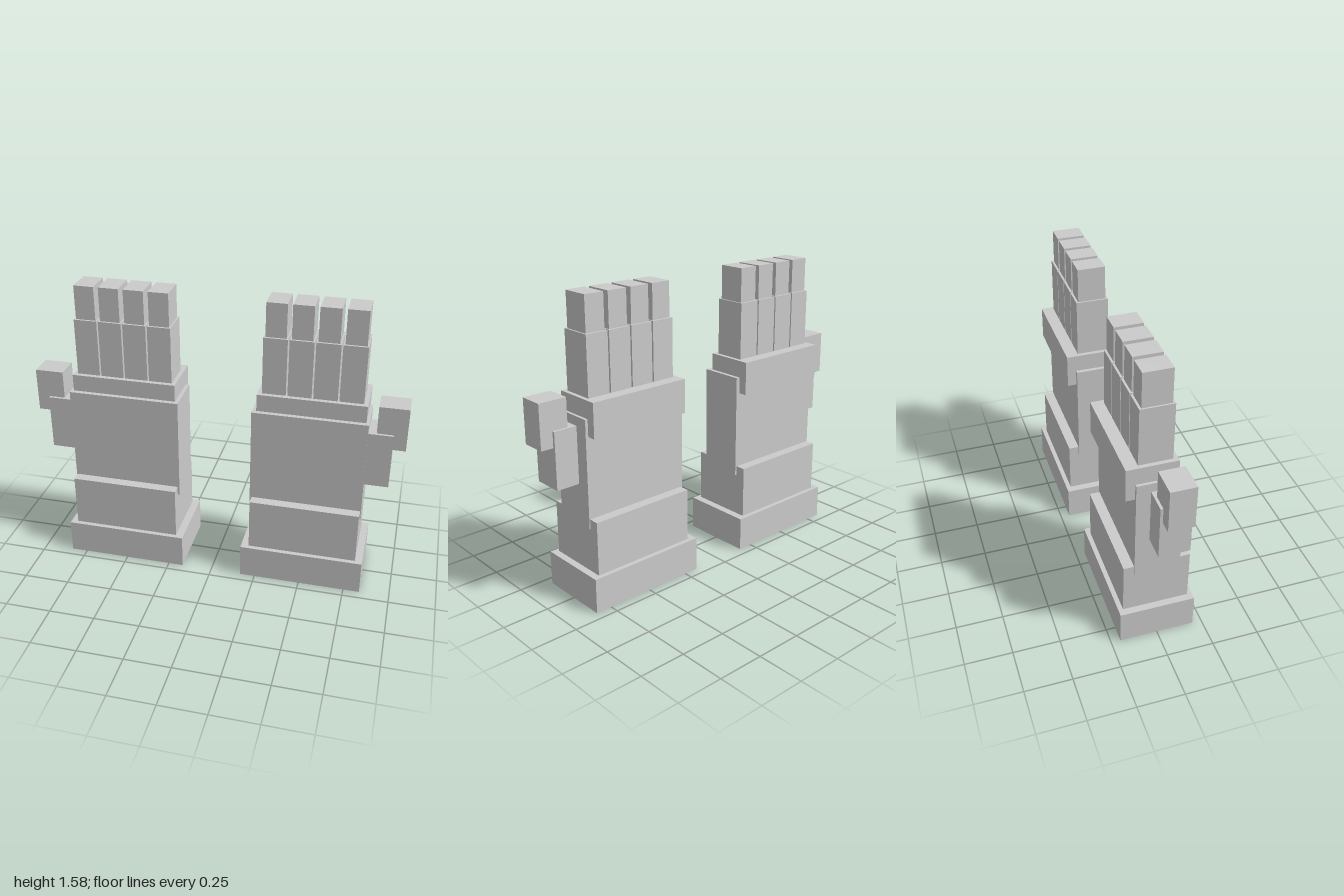
import * as THREE from 'three';

const material = new THREE.MeshStandardMaterial({ color: 0xcccccc, flatShading: true });

// Box given by its [min, max] extent along each axis
function block(name, [x0, x1], [y0, y1], [z0, z1]) {
  const mesh = new THREE.Mesh(new THREE.BoxGeometry(x1 - x0, y1 - y0, z1 - z0), material);
  mesh.position.set((x0 + x1) / 2, (y0 + y1) / 2, (z0 + z1) / 2);
  mesh.name = name;
  return mesh;
}

// One gauntlet; side is +1 for the left hand, -1 for the right
function createGauntlet(side) {
  const hand = new THREE.Group();
  hand.name = side > 0 ? 'leftGauntlet' : 'rightGauntlet';
  const add = (name, xs, ys, zs) => {
    const span = side > 0 ? xs : [-xs[1], -xs[0]];
    hand.add(block(name, span, ys, zs));
  };

  // Forearm, palm and knuckle guard
  add('cuff', [0.168, 0.838], [0, 0.187], [-0.2, 0.2]);
  add('wrist', [0.21, 0.8], [0.187, 0.475], [-0.175, 0.175]);
  add('palm', [0.199, 0.805], [0.424, 0.994], [-0.12, 0.12]);
  add('knuckleGuard', [0.22, 0.79], [0.905, 1.087], [-0.168, 0.095]);

  // Four fingers of two segments each
  for (let i = 0; i < 4; i++) {
    const x = 0.305 + i * 0.1335;
    add('fingerBase', [x - 0.0625, x + 0.0625], [1.087, 1.397], [-0.102, 0.07]);
    add('fingerTip', [x - 0.054, x + 0.054], [1.397, 1.581], [-0.09, 0.058]);
  }

  // Thumb on the outer side
  add('thumbBase', [0.79, 0.932], [0.643, 0.945], [-0.047, 0.115]);
  add('thumbTip', [0.846, 1], [0.86, 1.096], [-0.033, 0.1]);
  return hand;
}

export function createModel() {
  const model = new THREE.Group();
  model.name = 'gauntlets';
  model.add(createGauntlet(1), createGauntlet(-1));
  return model;
}
